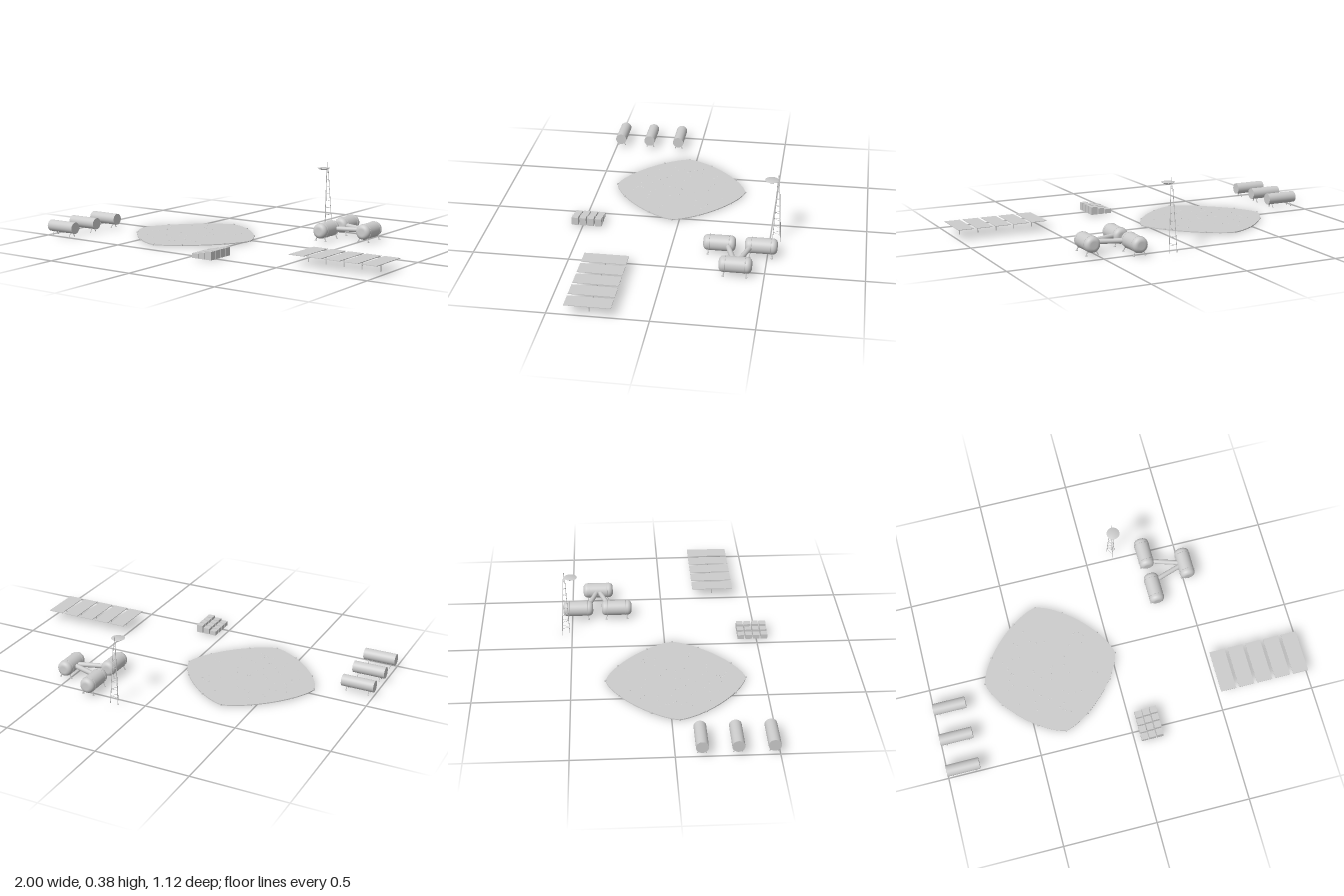
import * as THREE from 'three';

const grey = new THREE.MeshStandardMaterial({ color: 0xcccccc });
grey.name = 'light grey';

function add(parent, name, geometry, x = 0, y = 0, z = 0) {
  const mesh = new THREE.Mesh(geometry, grey);
  mesh.name = name;
  mesh.position.set(x, y, z);
  parent.add(mesh);
  return mesh;
}

function group(parent, name, x = 0, y = 0, z = 0) {
  const g = new THREE.Group();
  g.name = name;
  g.position.set(x, y, z);
  parent.add(g);
  return g;
}

// Round bar between two points
function bar(parent, name, a, b, radius, sides = 6) {
  const p = new THREE.Vector3(...a), q = new THREE.Vector3(...b);
  const d = q.clone().sub(p);
  const mesh = add(parent, name, new THREE.CylinderGeometry(radius, radius, d.length(), sides));
  mesh.position.copy(p).add(q).multiplyScalar(0.5);
  mesh.quaternion.setFromUnitVectors(new THREE.Vector3(0, 1, 0), d.normalize());
  return mesh;
}

// Rounded-diamond landing ground with edge markers and pebbles
function landingPad(root) {
  const pad = group(root, 'landingPad', -0.34, 0, 0.04);
  const R = 0.362;
  const bend = (v) => Math.sign(v) * Math.pow(Math.abs(v), 1.4);
  const edge = (t) => [R * bend(Math.cos(t)), R * bend(Math.sin(t))];
  const points = [];
  for (let i = 0; i < 96; i++) points.push(new THREE.Vector2(...edge(i / 96 * Math.PI * 2)));
  const slab = new THREE.ExtrudeGeometry(new THREE.Shape(points), { depth: 0.005, bevelEnabled: false });
  slab.rotateX(-Math.PI / 2);
  add(pad, 'ground', slab);

  const markerGeometry = new THREE.CylinderGeometry(0.005, 0.006, 0.008, 8);
  for (let i = 0; i < 12; i++) {
    const [x, z] = edge(i / 12 * Math.PI * 2);
    add(pad, 'edgeMarker', markerGeometry, x, 0.004, z);
  }

  let seed = 7;
  const random = () => (seed = (seed * 16807) % 2147483647) / 2147483647;
  const pebbleGeometry = new THREE.DodecahedronGeometry(0.004);
  for (let i = 0; i < 60; i++) {
    const r = 0.27 * Math.sqrt(random()), a = random() * Math.PI * 2;
    const pebble = add(pad, 'pebble', pebbleGeometry, r * Math.cos(a), 0.005, r * Math.sin(a));
    pebble.scale.set(1, 0.4, 1);
  }
}

// Flat-ended storage tank lying along x on splayed legs
function storageTank(root, z) {
  const tank = group(root, 'storageTank', -0.912, 0, z);
  add(tank, 'tankBody', new THREE.CylinderGeometry(0.031, 0.031, 0.175, 32), 0, 0.05, 0)
    .rotation.z = Math.PI / 2;
  for (const x of [-0.06, 0.06]) {
    for (const s of [-1, 1]) bar(tank, 'tankLeg', [x, 0.028, s * 0.007], [x, 0, s * 0.022], 0.0025);
  }
}

// Living module lying along z: rounded shell, two bands, four feet
function habitat(root, x, z) {
  const module = group(root, 'habitatModule', x, 0, z);
  const half = 0.083, r = 0.041, round = 0.023;
  const profile = [new THREE.Vector2(0, -half)];
  for (let i = 0; i <= 8; i++) {
    const a = i / 8 * Math.PI / 2;
    profile.push(new THREE.Vector2(r - round + round * Math.sin(a), -half + round * (1 - Math.cos(a))));
  }
  for (let i = profile.length - 1; i >= 0; i--) {
    profile.push(new THREE.Vector2(profile[i].x, -profile[i].y));
  }
  add(module, 'shell', new THREE.LatheGeometry(profile, 40), 0, 0.055, 0).rotation.x = Math.PI / 2;
  for (const s of [-1, 1]) {
    add(module, 'band', new THREE.TorusGeometry(r, 0.0018, 6, 40), 0, 0.055, s * 0.05);
    for (const k of [-1, 1]) {
      bar(module, 'foot', [k * 0.022, 0.025, s * 0.055], [k * 0.031, 0.003, s * 0.058], 0.003);
      add(module, 'footPad', new THREE.CylinderGeometry(0.006, 0.006, 0.003, 10), k * 0.031, 0.0015, s * 0.058);
    }
  }
}

// Three-legged lattice tower with a dish
function antennaTower(root) {
  const tower = group(root, 'antennaTower', 0.15, 0, -0.533);
  const corners = [[-0.022, -0.021], [0.022, -0.021], [0, 0.02]];
  const at = (i, y) => {
    const k = 1 - 0.78 * y / 0.335;
    return [corners[i % 3][0] * k, y, corners[i % 3][1] * k];
  };
  for (let i = 0; i < 3; i++) {
    bar(tower, 'towerLeg', at(i, 0), at(i, 0.335), 0.0016);
    for (let n = 1; n <= 8; n++) {
      bar(tower, 'rung', at(i, n * 0.04), at(i + 1, n * 0.04), 0.001);
    }
  }
  bar(tower, 'mast', [0, 0.32, 0], [0, 0.376, 0], 0.0015);

  // Shallow bowl facing up, with a closed rim
  const bowl = [[0, 0.001], [0.012, -0.009], [0.024, -0.005], [0.035, 0.002], [0, 0.002]];
  bowl[0][1] = -0.01;
  const dish = new THREE.LatheGeometry(bowl.map((p) => new THREE.Vector2(...p)), 32);
  add(tower, 'dish', dish, 0, 0.345, 0.035);
}

// Thin flat panel on a post
function solarPanel(root, x) {
  const panel = group(root, 'solarPanel', x, 0, 0.298);
  add(panel, 'panel', new THREE.BoxGeometry(0.084, 0.003, 0.229), 0, 0.051, 0);
  bar(panel, 'post', [0, 0, 0], [0, 0.05, 0], 0.003, 8);
}

export function createModel() {
  const root = new THREE.Group();
  root.name = 'outpost';

  landingPad(root);
  for (const z of [0.128, 0.3, 0.472]) storageTank(root, z);

  // Three modules joined by two tunnels
  habitat(root, 0.32, -0.467);
  habitat(root, 0.32, -0.253);
  habitat(root, 0.523, -0.355);
  bar(root, 'tunnel', [0.33, 0.055, -0.417], [0.523, 0.055, -0.355], 0.013, 20);
  bar(root, 'tunnel', [0.33, 0.055, -0.293], [0.523, 0.055, -0.355], 0.013, 20);

  antennaTower(root);
  for (let i = 0; i < 5; i++) solarPanel(root, 0.555 + i * 0.1007);

  // Crates grow taller column by column
  const crates = group(root, 'crates');
  [0.027, 0.036, 0.046].forEach((h, column) => {
    for (let row = 0; row < 4; row++) {
      add(crates, 'crate', new THREE.BoxGeometry(0.036, h - 0.003, 0.035),
        0.054 + column * 0.041, (h + 0.003) / 2, 0.416 + row * 0.042);
    }
  });

  return root;
}
